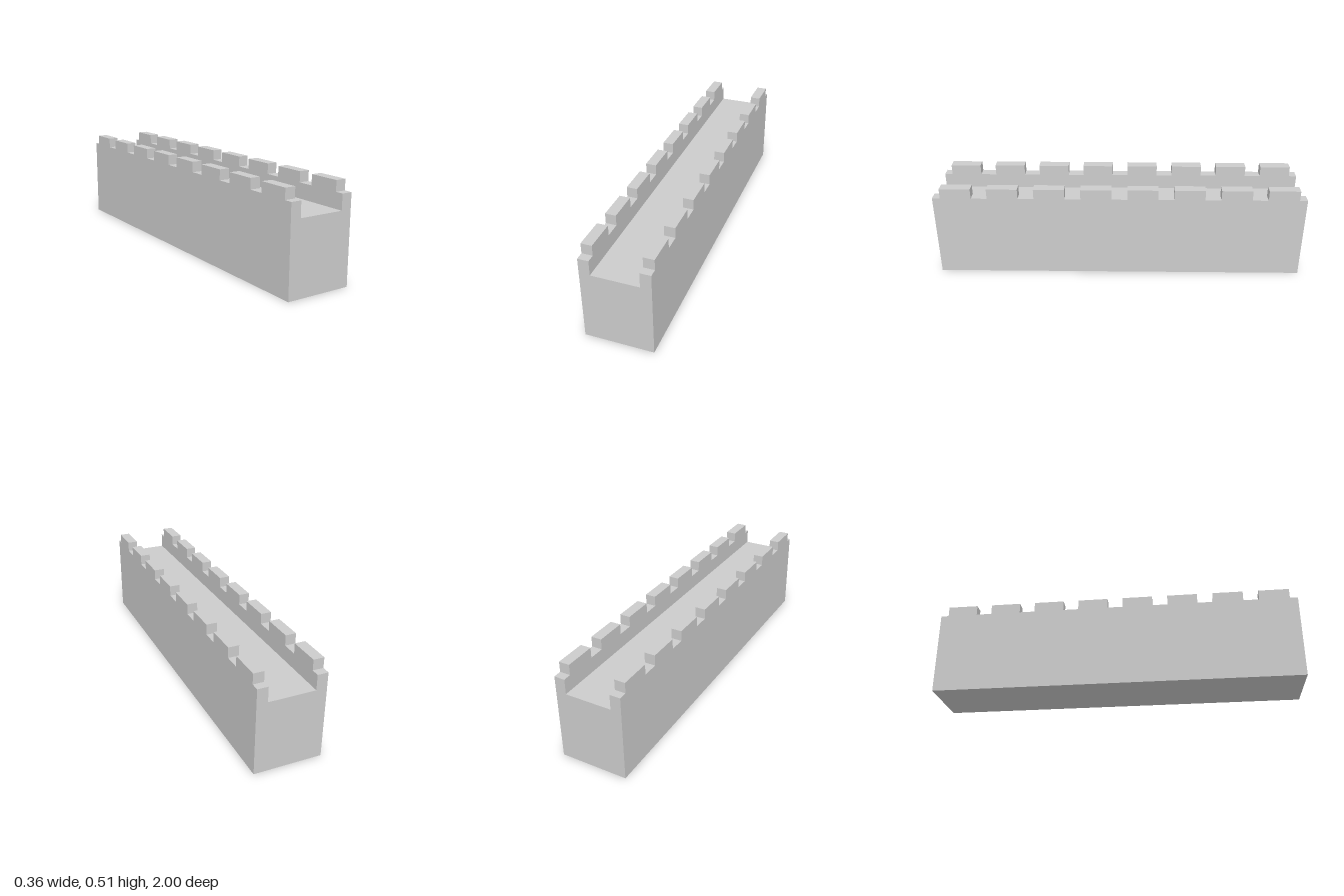
import * as THREE from 'three';

const HALF_WIDTH = 0.178, INNER = 0.122, LENGTH = 2;
const FLOOR = 0.377, PARAPET = 0.457, TOP = 0.512;
const MERLONS = 8, MERLON_LENGTH = 0.165;

export function createModel() {
  const group = new THREE.Group();
  group.name = 'battlementWall';
  const material = new THREE.MeshStandardMaterial({ color: 0xcccccc, flatShading: true });

  // Wall with a walkway sunk between two parapets, one section run along z
  const section = new THREE.Shape([
    [-HALF_WIDTH, 0], [HALF_WIDTH, 0], [HALF_WIDTH, PARAPET], [INNER, PARAPET],
    [INNER, FLOOR], [-INNER, FLOOR], [-INNER, PARAPET], [-HALF_WIDTH, PARAPET],
  ].map(([x, y]) => new THREE.Vector2(x, y)));
  const wallGeometry = new THREE.ExtrudeGeometry(section, { depth: LENGTH, bevelEnabled: false });
  wallGeometry.translate(0, 0, -LENGTH / 2);
  const wall = new THREE.Mesh(wallGeometry, material);
  wall.name = 'wallAndWalkway';
  group.add(wall);

  // Evenly spaced merlons on both parapets
  const merlonGeometry = new THREE.BoxGeometry(HALF_WIDTH - INNER, TOP - PARAPET, MERLON_LENGTH);
  const pitch = LENGTH / MERLONS;
  for (const side of [-1, 1]) {
    const row = new THREE.Group();
    row.name = side > 0 ? 'leftMerlons' : 'rightMerlons';
    for (let i = 0; i < MERLONS; i++) {
      const merlon = new THREE.Mesh(merlonGeometry, material);
      merlon.name = 'merlon';
      merlon.position.set(
        side * (HALF_WIDTH + INNER) / 2,
        (TOP + PARAPET) / 2,
        -LENGTH / 2 + (i + 0.5) * pitch,
      );
      row.add(merlon);
    }
    group.add(row);
  }
  return group;
}
